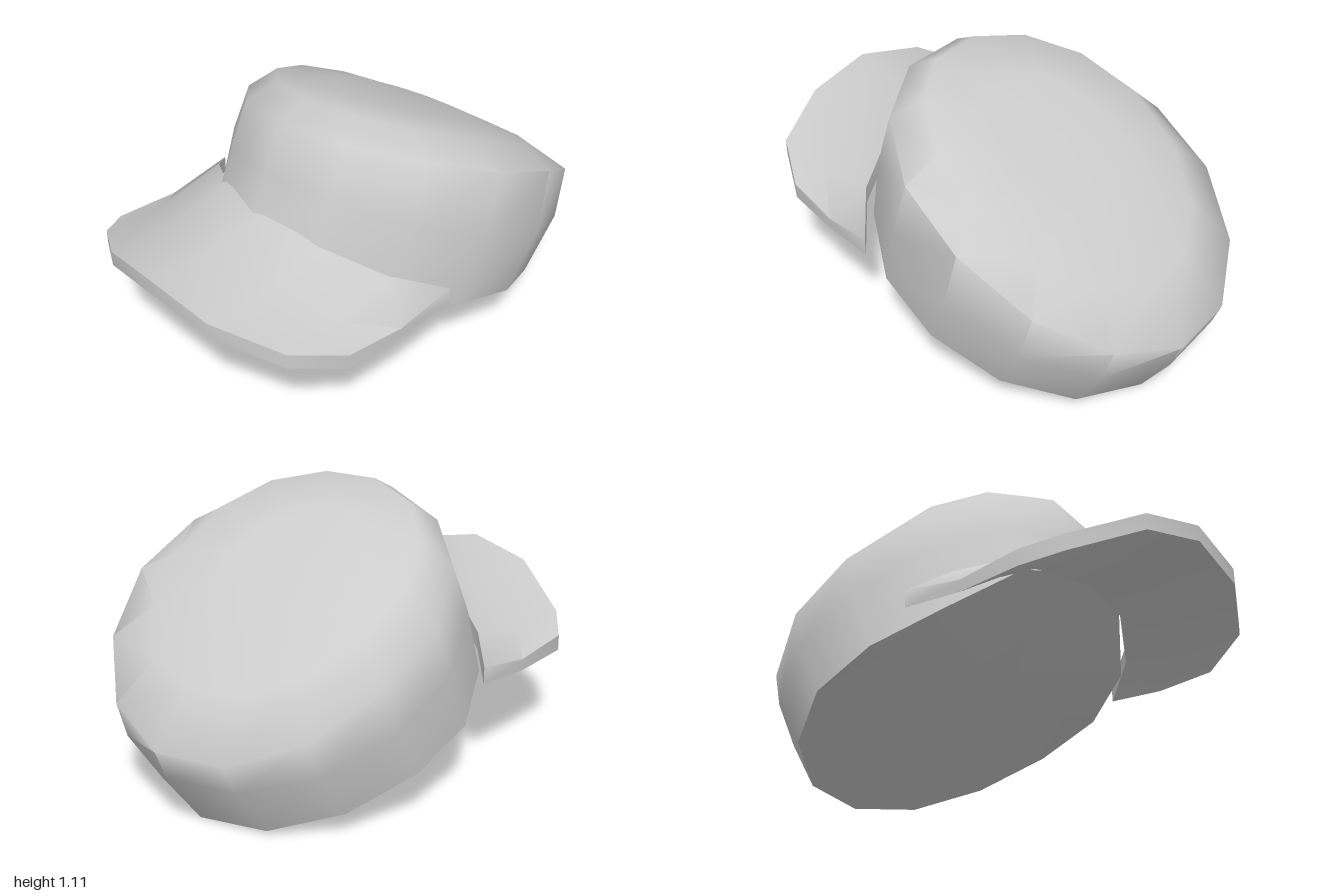
import * as THREE from 'three';
import { mergeVertices, toCreasedNormals } from 'three/addons/utils/BufferGeometryUtils.js';

const SIDES = 14;

// Skin a list of closed point rings and close both ends with a fan.
function loft(rings, crease) {
  const n = rings[0].length;
  const last = rings.length - 1;
  const pos = rings.flat(2);
  const index = [];
  for (let r = 0; r < last; r++) {
    for (let i = 0; i < n; i++) {
      const a = r * n + i, b = r * n + (i + 1) % n;
      index.push(a, b, b + n, a, b + n, a + n);
    }
  }
  const mean = (ring) => [0, 1, 2].map((k) => ring.reduce((s, p) => s + p[k], 0) / n);
  pos.push(...mean(rings[0]), ...mean(rings[last]));
  const c0 = rings.length * n;
  for (let i = 0; i < n; i++) {
    const j = (i + 1) % n;
    index.push(c0, j, i, c0 + 1, last * n + i, last * n + j);
  }
  const geo = new THREE.BufferGeometry();
  geo.setAttribute('position', new THREE.Float32BufferAttribute(pos, 3));
  geo.setIndex(index);
  return toCreasedNormals(mergeVertices(geo), crease);
}

// Height at z along a side profile of [z, y] points.
function heightAt(profile, z) {
  let i = 1;
  while (i < profile.length - 1 && z > profile[i][0]) i++;
  const [z0, y0] = profile[i - 1], [z1, y1] = profile[i];
  return y0 + (y1 - y0) * (z - z0) / (z1 - z0);
}

// Oval ring spanning the profile from back to front, rolled sideways.
function ovalRing({ width, roll, profile, cx = 0 }) {
  const back = profile[0][0], front = profile[profile.length - 1][0];
  return Array.from({ length: SIDES }, (_, i) => {
    const t = (i / SIDES) * Math.PI * 2;
    const x = cx + width * Math.sin(t);
    const z = (back + front) / 2 + (front - back) / 2 * Math.cos(t);
    return [x, heightAt(profile, z) + roll * x, z];
  });
}

export function createModel() {
  const group = new THREE.Group();
  const material = new THREE.MeshStandardMaterial({ color: 0xcccccc, side: THREE.DoubleSide });
  const add = (name, geo) => {
    const mesh = new THREE.Mesh(geo, material);
    mesh.name = name;
    group.add(mesh);
  };

  // Crown: lower rim, bulging wall, top edge and gently domed top
  const crown = [
    { width: 0.655, roll: 0.05, cx: -0.01, profile: [[-0.8, 0.0], [-0.4, 0.2], [0, 0.33], [0.25, 0.43], [0.5, 0.66]] },
    { width: 0.67, roll: 0.08, profile: [[-0.95, 0.22], [-0.2, 0.56], [0.42, 0.85]] },
    { width: 0.65, roll: 0.14, profile: [[-1, 0.34], [-0.8, 0.48], [-0.5, 0.67], [0, 0.9], [0.34, 1.05]] },
    { width: 0.5, roll: 0.12, profile: [[-0.83, 0.53], [-0.52, 0.74], [-0.08, 0.98], [0.23, 1.11]] },
    { width: 0.25, roll: 0.1, profile: [[-0.56, 0.74], [-0.3, 0.89], [0.0, 1.04]] },
  ].map(ovalRing);
  add('crown', loft(crown, 1.15));

  // Brim: arched visor, from the wall (inner) to the free edge (outer)
  const outer = [
    [-0.61, 0.45, 0.70], [-0.51, 0.50, 0.83], [-0.24, 0.635, 0.975], [0.04, 0.69, 1.0],
    [0.32, 0.635, 0.955], [0.57, 0.56, 0.80], [0.66, 0.49, 0.59],
  ];
  const inner = [
    [-0.62, 0.48, 0.15], [-0.50, 0.56, 0.27], [-0.24, 0.68, 0.42], [0.04, 0.71, 0.45],
    [0.30, 0.68, 0.42], [0.52, 0.59, 0.27], [0.66, 0.51, 0.08],
  ];
  const drop = (p, d) => [p[0], p[1] - d, p[2]];
  const stations = outer.map((o, i) => {
    const mid = drop(o.map((v, k) => (v + inner[i][k]) / 2), 0.035);
    return [inner[i], mid, o, drop(o, 0.065), drop(mid, 0.05), drop(inner[i], 0.07)];
  });
  add('brim', loft(stations, 0.9));

  return group;
}
